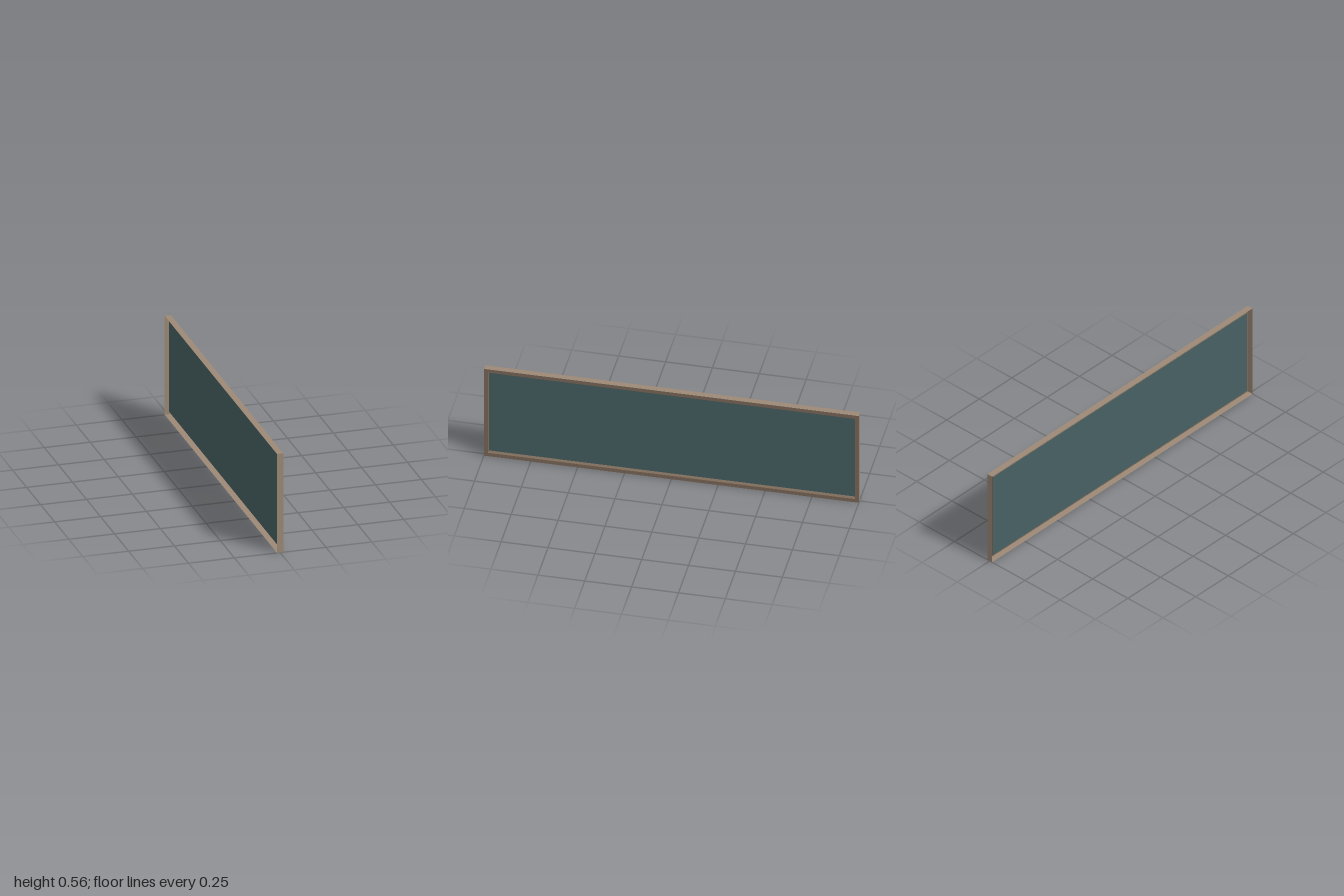
import * as THREE from 'three';

const H = 0.557, L = 2, X = 0.017; // height, length, half depth

// Flat-shaded band joining two rectangles, each given as [x, inset from the outer edge]
function band(name, [xa, a], [xb, b], material) {
  const ring = (x, i) => [
    [x, i, L / 2 - i], [x, i, -L / 2 + i],
    [x, H - i, -L / 2 + i], [x, H - i, L / 2 - i],
  ];
  const A = ring(xa, a), B = ring(xb, b), pos = [];
  for (let k = 0; k < 4; k++) {
    const n = (k + 1) % 4;
    pos.push(...A[k], ...A[n], ...B[n], ...A[k], ...B[n], ...B[k]);
  }
  const geometry = new THREE.BufferGeometry();
  geometry.setAttribute('position', new THREE.Float32BufferAttribute(pos, 3));
  geometry.computeVertexNormals();
  const mesh = new THREE.Mesh(geometry, material);
  mesh.name = name;
  return mesh;
}

export function createModel() {
  const side = THREE.DoubleSide;
  const outerWood = new THREE.MeshStandardMaterial({ color: 0x9c8875, side });
  outerWood.name = 'light wood';
  const rimWood = new THREE.MeshStandardMaterial({ color: 0x7c6958, side });
  rimWood.name = 'dark wood';
  const slate = new THREE.MeshStandardMaterial({ color: 0x466062, side });
  slate.name = 'slate green';

  const group = new THREE.Group();
  group.name = 'framedBoard';

  // Thin outer walls, open at the back
  group.add(band('outerWalls', [-X, 0], [X, 0], outerWood));
  // Face of the frame and the reveal stepping in to the board
  group.add(band('frameRim', [X, 0], [X, 0.021], rimWood));
  group.add(band('innerReveal', [X, 0.021], [0, 0.025], rimWood));

  // Recessed panel, seen from both sides
  const board = new THREE.Mesh(new THREE.PlaneGeometry(L - 0.05, H - 0.05), slate);
  board.name = 'board';
  board.rotation.y = Math.PI / 2;
  board.position.y = H / 2;
  group.add(board);

  return group;
}
